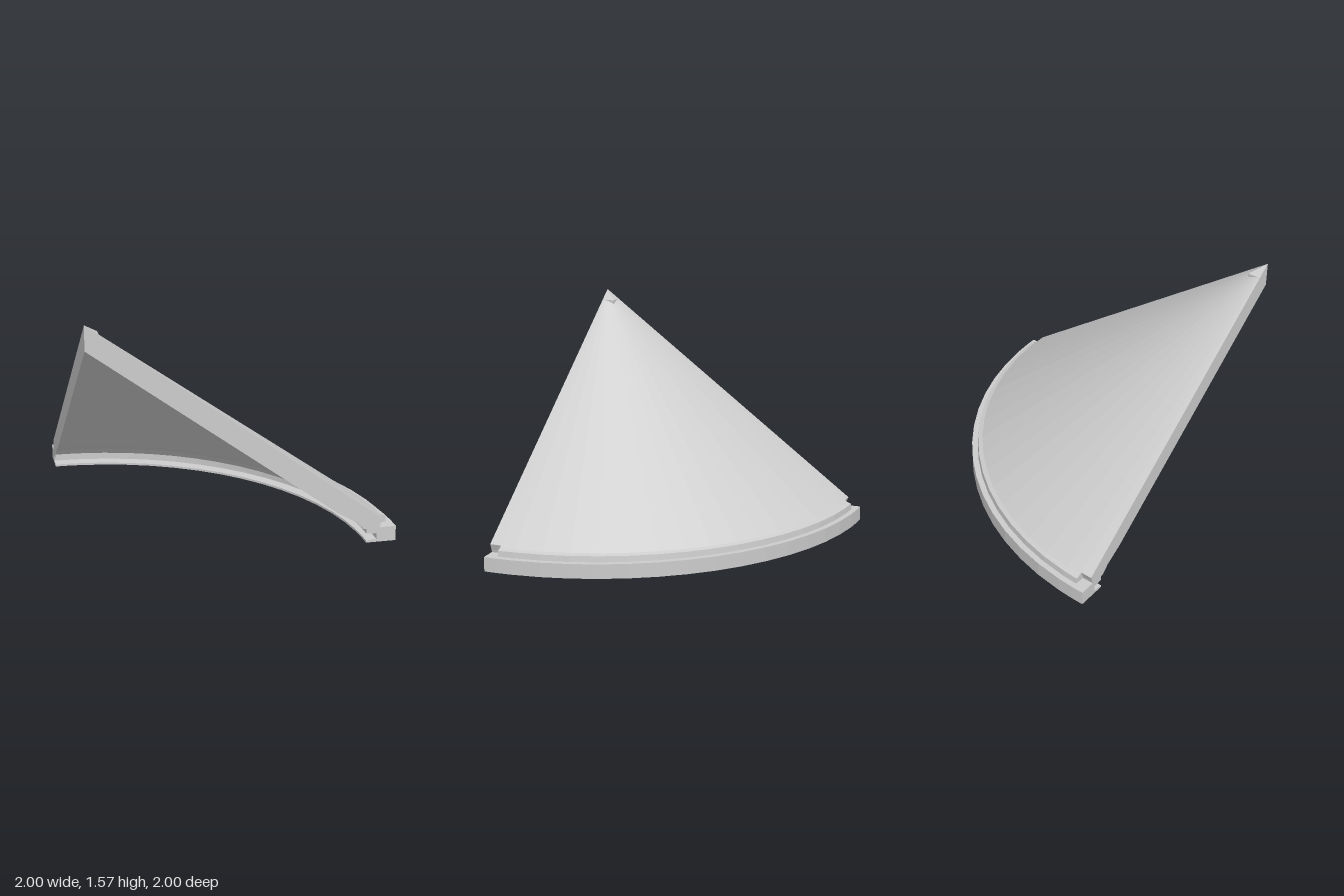
import * as THREE from 'three';
import { ConvexGeometry } from 'three/addons/geometries/ConvexGeometry.js';

const SEGMENTS = 16;
const NOTCH = 0.042; // angle covered by the notch at each end of the rim

// Cross-section as [radius, height], counter-clockwise from the inner lip
const section = [
  [1.8, 0], [2, 0], [2, 0.1],
  [1.96, 0.1], [1.955, 0.14], [1.925, 0.15],
  [0, 1.573], [0, 1.41],
  [1.61, 0.22], [1.73, 0.15], [1.78, 0.1], [1.8, 0.095],
  [1.8, 0.065], [1.87, 0.06], [1.87, 0.02], [1.8, 0.015],
];
// Same section with the upper step cut back
const notched = section.map((p) => p.slice());
notched[3] = [1.89, 0.1];
notched[4] = [1.895, 0.12];
notched[5] = [1.91, 0.161];

// Point on the quarter turn about the vertical axis at x = -1, z = 1
const place = ([r, y], t) => [-1 + r * Math.cos(t), y, 1 - r * Math.sin(t)];

// Sweeps changing sections through a list of angles and caps both ends
function sweep(rings) {
  const pos = [];
  const tri = (a, b, c) => pos.push(...a, ...b, ...c);
  const pts = rings.map(({ t, profile }) => profile.map((p) => place(p, t)));
  for (let i = 0; i < pts.length - 1; i++) {
    const [p, q] = [pts[i], pts[i + 1]];
    for (let j = 0; j < p.length; j++) {
      const k = (j + 1) % p.length;
      tri(p[j], q[j], p[k]);
      tri(p[k], q[j], q[k]);
    }
  }
  const cap = ({ t, profile }, flip) => {
    const outline = profile.map(([r, y]) => new THREE.Vector2(r, y));
    for (const [a, b, c] of THREE.ShapeUtils.triangulateShape(outline, [])) {
      const [u, v, w] = [a, b, c].map((n) => place(profile[n], t));
      if (flip) tri(u, w, v);
      else tri(u, v, w);
    }
  };
  cap(rings[0], false);
  cap(rings[rings.length - 1], true);
  const geometry = new THREE.BufferGeometry();
  geometry.setAttribute('position', new THREE.Float32BufferAttribute(pos, 3));
  geometry.computeVertexNormals();
  return geometry;
}

export function createModel() {
  const group = new THREE.Group();
  const material = new THREE.MeshStandardMaterial({ color: 0xcccccc, flatShading: true });
  const add = (name, geometry) => {
    const mesh = new THREE.Mesh(geometry, material);
    mesh.name = name;
    group.add(mesh);
  };

  // Quarter cone roof with grooved rim; the repeated angles form the notch walls
  const end = Math.PI / 2;
  const rings = [{ t: 0, profile: notched }, { t: NOTCH, profile: notched }, { t: NOTCH, profile: section }];
  for (let i = 1; i < SEGMENTS; i++) rings.push({ t: (i / SEGMENTS) * end, profile: section });
  rings.push({ t: end - NOTCH, profile: section }, { t: end - NOTCH, profile: notched }, { t: end, profile: notched });
  add('quarterConeRoof', sweep(rings));

  // Small squared tip at the peak
  const s = 0.09;
  const tip = [
    [0, 1.573, 0], [s, 1.507, 0], [0, 1.507, s], [s, 1.507, s],
    [0, 1.45, 0], [s, 1.46, 0], [0, 1.46, s], [s, 1.47, s],
  ].map(([x, y, z]) => new THREE.Vector3(x - 1, y, 1 - z));
  add('peakTip', new ConvexGeometry(tip));

  return group;
}
